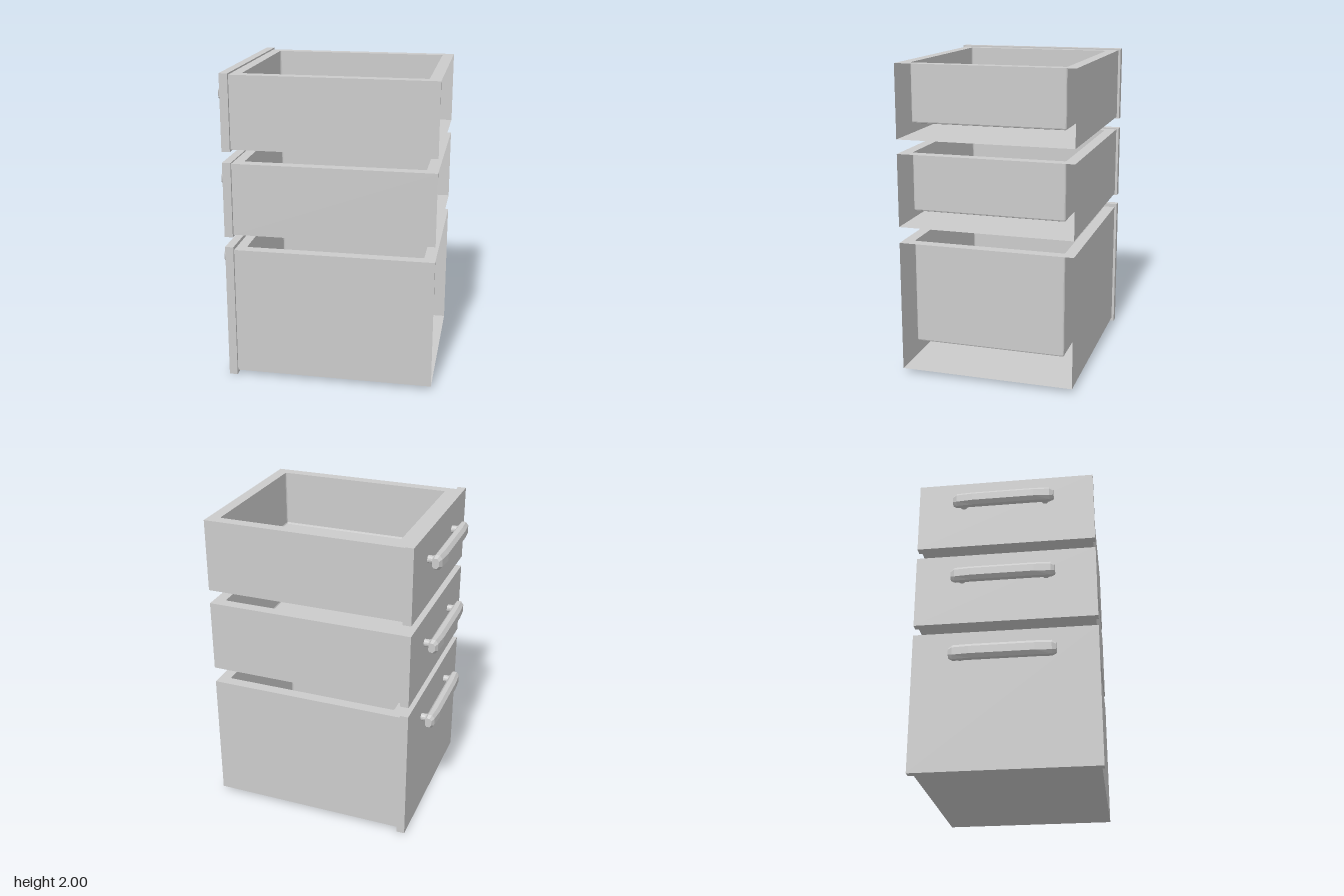
import * as THREE from 'three';

const material = new THREE.MeshStandardMaterial({ color: 0xcccccc, flatShading: true, side: THREE.DoubleSide });

// Drawer body extents shared by all three drawers
const FRONT = -0.56, BACK = 0.718, HALF = 0.56;
const CAV = { x0: -0.495, x1: 0.645, half: 0.488 };

function add(parent, name, geometry, x = 0, y = 0, z = 0) {
  const mesh = new THREE.Mesh(geometry, material);
  mesh.name = name;
  mesh.position.set(x, y, z);
  parent.add(mesh);
  return mesh;
}

// Skin a list of closed rings of equal length, capping the last and optionally the first
function loft(rings, capStart) {
  const pos = [];
  const tri = (...pts) => pts.forEach((p) => pos.push(p.x, p.y, p.z));
  const n = rings[0].length;
  const centre = (ring) => ring.reduce((s, p) => s.add(p), new THREE.Vector3()).divideScalar(n);
  for (let k = 0; k < rings.length - 1; k++) {
    const a = rings[k], b = rings[k + 1];
    for (let i = 0; i < n; i++) {
      const j = (i + 1) % n;
      tri(a[i], a[j], b[j]);
      tri(a[i], b[j], b[i]);
    }
  }
  const first = rings[0], last = rings[rings.length - 1];
  const c0 = centre(first), c1 = centre(last);
  for (let i = 0; i < n; i++) {
    const j = (i + 1) % n;
    tri(c1, last[i], last[j]);
    if (capStart) tri(c0, first[j], first[i]);
  }
  const g = new THREE.BufferGeometry();
  g.setAttribute('position', new THREE.Float32BufferAttribute(pos, 3));
  g.computeVertexNormals();
  return g;
}

// Plan outline of the cavity with slightly rounded corners, counter-clockwise
function cavityOutline(inset) {
  const r = 0.012, pts = [];
  const x0 = CAV.x0 + r, x1 = CAV.x1 - r, h = CAV.half - r;
  [[x1, h], [x0, h], [x0, -h], [x1, -h]].forEach(([cx, cy], q) => {
    for (let s = 0; s <= 3; s++) {
      const a = (q + s / 3) * Math.PI / 2;
      pts.push(new THREE.Vector2(cx + (r - inset) * Math.cos(a), cy + (r - inset) * Math.sin(a)));
    }
  });
  return pts;
}

// Body: thin outer skin open at the back, a top rim and a sunken tray
function makeBody(bottom, top, floor) {
  const body = new THREE.Group();
  body.name = 'drawerBody';
  const len = BACK - FRONT, midX = (BACK + FRONT) / 2;
  const h = top - bottom, midY = (top + bottom) / 2;

  add(body, 'leftSide', new THREE.PlaneGeometry(len, h), midX, midY, HALF);
  add(body, 'rightSide', new THREE.PlaneGeometry(len, h).rotateY(Math.PI), midX, midY, -HALF);
  add(body, 'bodyFront', new THREE.PlaneGeometry(HALF * 2, h).rotateY(-Math.PI / 2), FRONT, midY);
  add(body, 'underside', new THREE.PlaneGeometry(len, HALF * 2).rotateX(Math.PI / 2), midX, bottom);

  const rim = new THREE.Shape([[FRONT, -HALF], [BACK, -HALF], [BACK, HALF], [FRONT, HALF]]
    .map(([x, y]) => new THREE.Vector2(x, y)));
  rim.holes.push(new THREE.Path(cavityOutline(0)));
  add(body, 'topRim', new THREE.ShapeGeometry(rim).rotateX(-Math.PI / 2), 0, top);

  const levels = [[top, 0], [floor + 0.01, 0], [floor + 0.003, 0.003], [floor, 0.01]];
  add(body, 'tray', loft(levels.map(([y, inset]) =>
    cavityOutline(inset).map((p) => new THREE.Vector3(p.x, y, -p.y))), false));
  return body;
}

// Handle: faceted bar with chamfered ends on two flared posts
function makeHandle() {
  const handle = new THREE.Group();
  handle.name = 'handle';
  const profile = [[-0.655, -0.028], [-0.655, 0.028], [-0.67, 0.046], [-0.7, 0.046],
    [-0.719, 0.024], [-0.719, -0.024], [-0.7, -0.046], [-0.67, -0.046]];
  // z, height scale, depth scale measured from the rear face
  const sections = [[-0.328, 0.68, 0.66], [-0.303, 1, 0.87], [-0.2, 1, 1],
    [0.2, 1, 1], [0.303, 1, 0.87], [0.328, 0.68, 0.66]];
  add(handle, 'grip', loft(sections.map(([z, sy, sx]) =>
    profile.map(([x, y]) => new THREE.Vector3(-0.655 + (x + 0.655) * sx, y * sy, z))), true));

  const post = [[0.024, 0], [0.024, 0.032], [0.03, 0.047]].map(([r, y]) => new THREE.Vector2(r, y));
  for (const side of [-1, 1]) {
    add(handle, 'handlePost', new THREE.LatheGeometry(post, 12).rotateZ(Math.PI / 2), -0.611, 0, side * 0.268);
  }
  handle.position.z = -0.007;
  return handle;
}

export function createModel() {
  const model = new THREE.Group();
  model.name = 'drawerSet';
  const drawers = [
    { name: 'bottomDrawer', panel: [0, 0.893], body: [0.025, 0.87], floor: 0.197, handle: 0.725 },
    { name: 'middleDrawer', panel: [0.96, 1.445], body: [0.973, 1.437], floor: 1.066, handle: 1.265 },
    { name: 'topDrawer', panel: [1.515, 2], body: [1.527, 1.99], floor: 1.62, handle: 1.823 },
  ];
  for (const d of drawers) {
    const drawer = new THREE.Group();
    drawer.name = d.name;
    const [p0, p1] = d.panel;
    add(drawer, 'frontPanel', new THREE.BoxGeometry(0.054, p1 - p0, 1.153), -0.587, (p0 + p1) / 2);
    drawer.add(makeBody(d.body[0], d.body[1], d.floor));
    const handle = makeHandle();
    handle.position.y = d.handle;
    drawer.add(handle);
    model.add(drawer);
  }
  return model;
}
